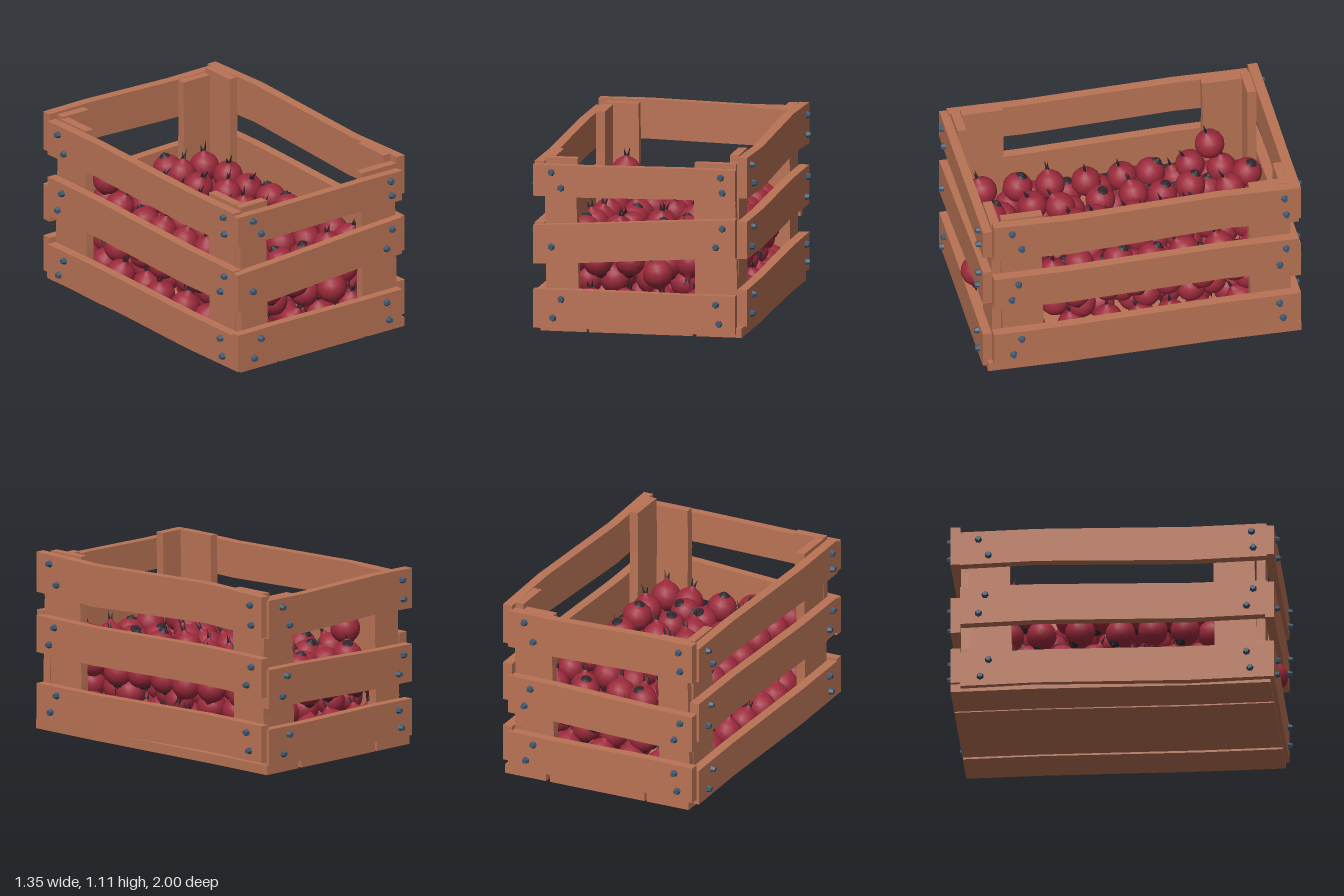
import * as THREE from 'three';
import { mergeGeometries } from 'three/addons/utils/BufferGeometryUtils.js';

const mat = (name, color) => {
  const m = new THREE.MeshStandardMaterial({ color });
  m.name = name;
  return m;
};
const wood = mat('wood', 0xb97355);
const steel = mat('blueSteel', 0x40586f);
const skin = mat('redSkin', 0x9c2a3c);
const dry = mat('dryTips', 0x30272d);

function seeded(seed) {
  return () => {
    seed = (seed * 16807) % 2147483647;
    return seed / 2147483647;
  };
}

// Board from u0 to u1 whose edges run from a start height to an end height and sag in a wave
function board(name, [u0, u1], low, high, sag, [d0, d1]) {
  const edge = ([a, b], depth) => [0, 1, 2, 3, 4].map((i) => new THREE.Vector2(
    u0 + ((u1 - u0) * i) / 4,
    a + ((b - a) * i) / 4 - depth * Math.sin((i * Math.PI) / 2),
  ));
  const shape = new THREE.Shape([...edge(low, sag), ...edge(high, sag * 0.7).reverse()]);
  const geo = new THREE.ExtrudeGeometry(shape, { depth: d1 - d0, bevelEnabled: false });
  geo.translate(0, 0, d0);
  const mesh = new THREE.Mesh(geo, wood);
  mesh.name = name;
  return mesh;
}

// Upright corner board with slightly bent long edges
function post([u0, u1], top, d) {
  const mesh = board('cornerPost', [0.04, top], [-u1, -u1], [-u0, -u0], 0.006, [d - 0.055, d]);
  mesh.geometry.rotateZ(Math.PI / 2);
  return mesh;
}

const boltGeo = new THREE.CylinderGeometry(0.015, 0.023, 0.026, 6).toNonIndexed();
boltGeo.rotateX(Math.PI / 2);
boltGeo.computeVertexNormals();

// Distance of the lower and upper bolt from each plank end, by row from the top
const boltInsets = [
  [[0.17, 0.11], [0.11, 0.15], [0.12, 0.17]],
  [[0.08, 0.09], [0.12, 0.08], [0.1, 0.12]],
];

// Wall laid out facing +z, then turned: u runs rightwards as seen from outside
function crateWall(name, turn, u, d, postTop, posts, planks) {
  const wall = new THREE.Group();
  wall.name = name;
  wall.rotation.y = turn;
  planks.forEach(([low, high, sag, missingBolt], row) => {
    wall.add(board('plank', u, low, high, sag, d));
    for (const end of [0, 1]) {
      for (const upper of [0, 1]) {
        if (missingBolt && !end && upper) continue;
        const inset = boltInsets[end][row][upper];
        const height = missingBolt && !end ? 0.45 : 0.27 + 0.49 * upper;
        const bolt = new THREE.Mesh(boltGeo, steel);
        bolt.name = 'bolt';
        bolt.position.set(
          end ? u[1] - inset : u[0] + inset,
          THREE.MathUtils.lerp(low[end], high[end], height),
          d[1] + 0.013,
        );
        bolt.rotation.z = row + end * 0.6 + upper * 0.4;
        wall.add(bolt);
      }
    }
  });
  for (const span of posts) wall.add(post(span, postTop, d[0]));
  return wall;
}

// Bulb with a pointed neck, dark leaf tips and a dark root button
function onionGeometry() {
  const r = 0.09;
  const profile = [];
  for (let i = 0; i <= 8; i++) {
    const a = -Math.PI / 2 + (i * Math.PI) / 9.6;
    profile.push(new THREE.Vector2(Math.max(r * Math.cos(a), 0), r * Math.sin(a)));
  }
  profile.push(new THREE.Vector2(0.023, 0.09), new THREE.Vector2(0.013, 0.108));
  const bulb = new THREE.LatheGeometry(profile, 16);

  const leaves = [0, 1].map((i) => {
    const g = new THREE.ConeGeometry(0.011, 0.08 - i * 0.025, 5);
    g.translate(0, 0.03, 0);
    g.rotateZ(-0.2);
    g.translate(0.006, 0.094, 0);
    g.rotateY(i * Math.PI);
    return g;
  });
  const root = new THREE.CylinderGeometry(0.036, 0.026, 0.014, 10);
  root.translate(0, -0.087, 0);
  const nub = new THREE.CylinderGeometry(0.018, 0.012, 0.012, 8);
  nub.translate(0, -0.098, 0);
  return mergeGeometries([bulb, mergeGeometries([...leaves, root, nub])], true);
}

// Heap of onions in staggered layers, some with the root up
function onionHeap() {
  const heap = new THREE.Group();
  heap.name = 'onions';
  const rand = seeded(4217);
  const jitter = (a) => (rand() - 0.5) * 2 * a;
  const geo = onionGeometry();
  const addOnion = (x, y, z, tipUp) => {
    const onion = new THREE.Mesh(geo, [skin, dry]);
    onion.name = 'onion';
    onion.position.set(x, y, z);
    onion.rotation.set((tipUp ? 0.3 : Math.PI - 0.25) + jitter(0.3), jitter(0.5), jitter(0.3));
    heap.add(onion);
  };
  for (let k = 0; k < 4; k++) {
    const nx = 6 - (k % 2);
    const nz = 9 - (k % 2);
    for (let i = 0; i < nx; i++) {
      for (let j = 0; j < nz; j++) {
        const z = THREE.MathUtils.clamp((j - (nz - 1) / 2) * 0.205 + jitter(0.035), -0.82, 0.79);
        const limit = Math.abs(z) > 0.57 ? 0.44 : 0.49;
        const x = THREE.MathUtils.clamp((i - (nx - 1) / 2) * 0.198 + jitter(0.04), -limit, limit);
        addOnion(x, 0.165 + 0.125 * k + jitter(0.015), z, k === 0 || rand() < 0.62);
      }
    }
  }
  // One poking out at the front, a few on top at the back
  addOnion(0.1, 0.365, 0.905, false);
  addOnion(-0.41, 0.69, -0.64, true);
  addOnion(-0.23, 0.58, -0.83, false);
  addOnion(0.17, 0.56, -0.81, false);
  return heap;
}

export function createModel() {
  const model = new THREE.Group();
  model.name = 'onionCrate';

  // Each plank: lower edge ends, upper edge ends, sag, and whether one bolt is missing
  model.add(crateWall('frontWall', 0, [-0.65, 0.585], [0.91, 0.965], 1.05, [[-0.585, -0.39], [0.325, 0.58]], [
    [[0.825, 0.83], [1.015, 1.02], 0.004],
    [[0.41, 0.485], [0.645, 0.72], 0.003, true],
    [[0.02, 0.02], [0.255, 0.255], -0.004],
  ]));
  model.add(crateWall('leftWall', Math.PI / 2, [-0.91, 0.96], [0.585, 0.645], 1.095, [[-0.85, -0.6], [0.67, 0.915]], [
    [[0.845, 0.84], [1.09, 1.09], 0.022],
    [[0.475, 0.47], [0.7, 0.71], 0.012],
    [[0.065, 0.075], [0.285, 0.3], 0.009],
  ]));
  model.add(crateWall('backWall', Math.PI, [-0.6, 0.635], [0.92, 0.98], 1.06, [[-0.58, -0.33], [0.38, 0.58]], [
    [[0.83, 0.83], [1.065, 1.075], 0.008],
    [[0.4, 0.38], [0.64, 0.61], -0.005],
    [[0.05, 0.05], [0.275, 0.275], 0.006],
  ]));
  model.add(crateWall('rightWall', -Math.PI / 2, [-0.92, 0.92], [0.59, 0.65], 1.05, [[-0.87, -0.62], [0.6, 0.85]], [
    [[0.82, 0.815], [1.035, 1.03], -0.012],
    [[0.43, 0.43], [0.675, 0.655], -0.01],
    [[0.02, 0.02], [0.24, 0.24], -0.008],
  ]));

  // Floor of three long boards with gaps between them
  const floor = new THREE.Group();
  floor.name = 'floor';
  for (const [x0, x1] of [[-0.61, -0.33], [-0.315, 0.32], [0.345, 0.62]]) {
    const b = board('floorBoard', [-0.98, 0.94], [x0, x0], [x1, x1], 0.01, [0, 0.058]);
    // Lay flat: length along z, width along x, thickness along y
    b.geometry.rotateX(-Math.PI / 2);
    b.geometry.rotateY(-Math.PI / 2);
    floor.add(b);
  }
  model.add(floor);
  model.add(onionHeap());
  return model;
}
